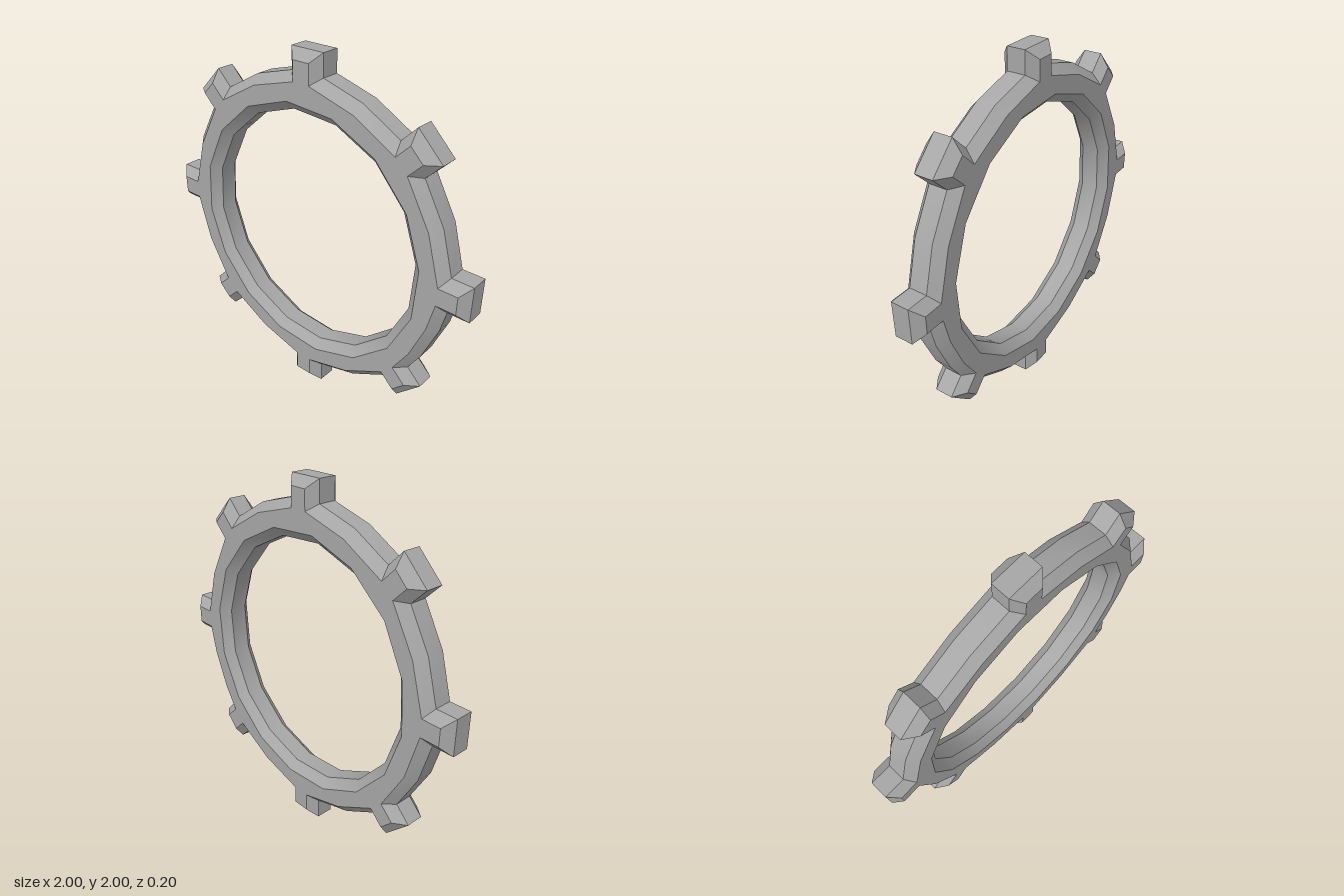
import * as THREE from 'three';
import { toCreasedNormals } from 'three/addons/utils/BufferGeometryUtils.js';

const TEETH = 8, RING_R = 0.88, HOLE_R = 0.69, TIP_R = 1, HALF_TOOTH = 0.1, BEVEL = 0.05;

const polar = (r, deg) => {
  const a = THREE.MathUtils.degToRad(deg);
  return new THREE.Vector2(r * Math.cos(a), r * Math.sin(a));
};

// Outer outline: eight square teeth with ring corners between them
function gearOutline() {
  const points = [];
  for (let i = 0; i < TEETH; i++) {
    const deg = i * 360 / TEETH;
    const angle = THREE.MathUtils.degToRad(deg);
    const tooth = [[RING_R, -HALF_TOOTH], [TIP_R, -HALF_TOOTH], [TIP_R, HALF_TOOTH], [RING_R, HALF_TOOTH]];
    for (const [x, y] of tooth) {
      points.push(new THREE.Vector2(x, y).rotateAround(new THREE.Vector2(), angle));
    }
    // One gap has two corners, the others have one
    const corners = i === TEETH - 1 ? [15, 30] : [22.5];
    for (const c of corners) points.push(polar(RING_R, deg + c));
  }
  return points;
}

export function createModel() {
  const group = new THREE.Group();
  group.name = 'gearRing';

  const grey = new THREE.MeshStandardMaterial({ color: 0xa6a6a6 });
  grey.name = 'grey';

  // Sixteen-sided hole, slightly turned
  const shape = new THREE.Shape(gearOutline());
  const hole = Array.from({ length: 16 }, (_, i) => polar(HOLE_R, 7.5 - i * 22.5));
  shape.holes.push(new THREE.Path(hole));

  // Chamfer cuts inward so the outline stays at full size mid-depth
  const geometry = new THREE.ExtrudeGeometry(shape, {
    depth: 0.1, bevelEnabled: true, bevelSegments: 1,
    bevelThickness: BEVEL, bevelSize: BEVEL, bevelOffset: -BEVEL,
  });
  geometry.translate(0, 1, -0.05);

  const ring = new THREE.Mesh(toCreasedNormals(geometry, 0.5), grey);
  ring.name = 'toothedRing';
  group.add(ring);
  return group;
}
